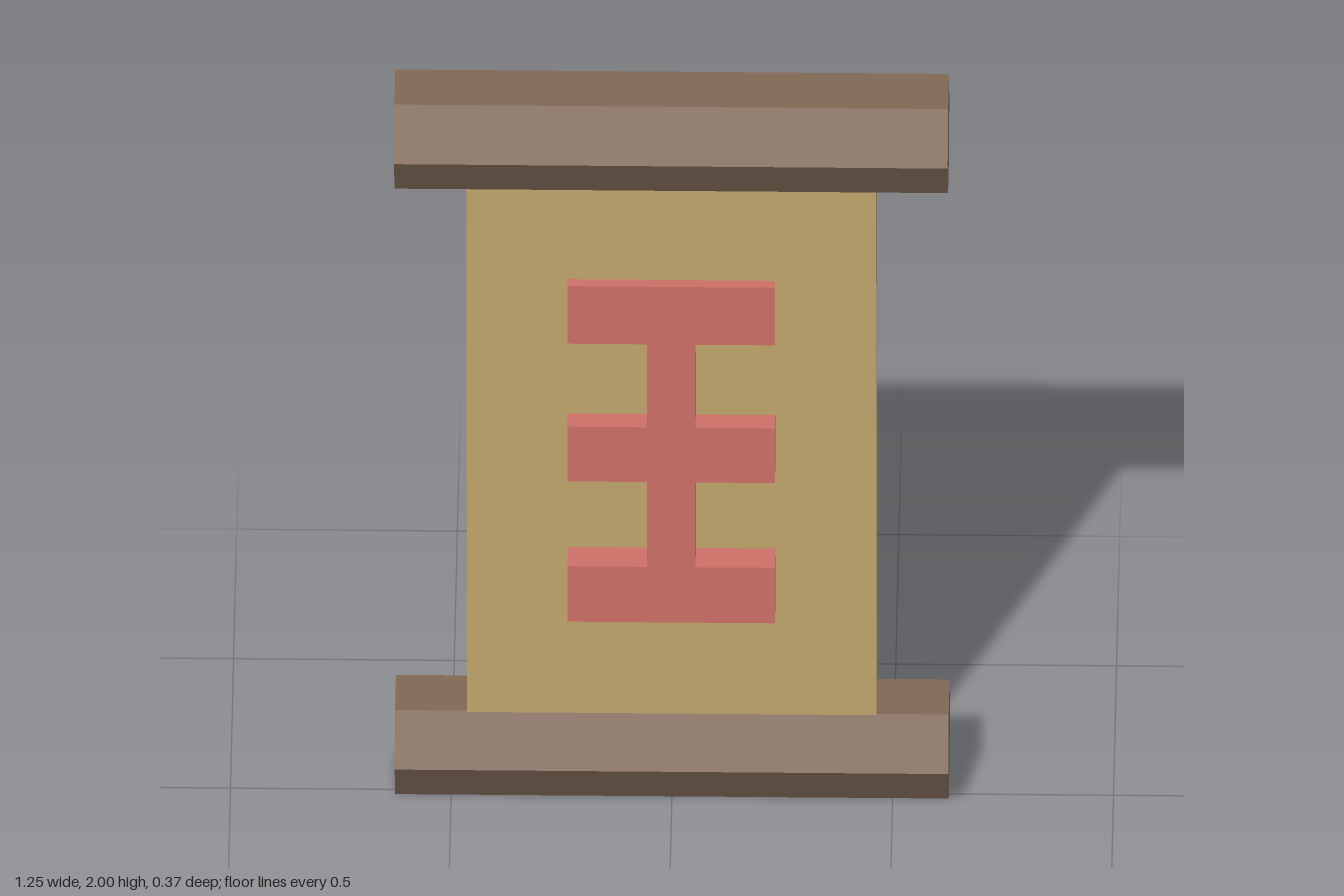
import * as THREE from 'three';

const paint = (name, color) => {
  const m = new THREE.MeshStandardMaterial({ color });
  m.name = name;
  return m;
};

export function createModel() {
  const wood = paint('brownWood', 0x7f6855);
  const parchment = paint('tanParchment', 0xc6aa6f);
  const ink = paint('redInk', 0xcd7067);
  const group = new THREE.Group();
  group.name = 'scroll';

  const add = (name, geometry, material, x = 0, y = 0, z = 0) => {
    const mesh = new THREE.Mesh(geometry, material);
    mesh.name = name;
    mesh.position.set(x, y, z);
    group.add(mesh);
  };

  // Hexagonal rollers along x, points facing front and back
  const roller = new THREE.CylinderGeometry(0.1357, 0.1357, 1.254, 6).rotateZ(Math.PI / 2).toNonIndexed();
  roller.computeVertexNormals();
  add('topRoller', roller, wood, 0, 1.8825, 0.05);
  add('bottomRoller', roller, wood, 0, 0.1175, -0.05);

  // Sheet between the rollers, sheared so its top leans forward
  const sheet = new THREE.BoxGeometry(0.928, 1.53, 0.135);
  const p = sheet.attributes.position;
  for (let i = 0; i < p.count; i++) p.setZ(i, p.getZ(i) + p.getY(i) * 0.061);
  sheet.computeVertexNormals();
  add('sheet', sheet, parchment, 0, 1, 0.002);

  // Raised emblem: a stem with three crossbars, mirrored from its right half
  const half = [
    [0.235, 0.565], [0.235, 0.72], [0.055, 0.72], [0.055, 0.957], [0.235, 0.957],
    [0.235, 1.11], [0.055, 1.11], [0.055, 1.342], [0.235, 1.342], [0.235, 1.503],
  ];
  const outline = [...half, ...half.map(([x, y]) => [-x, y]).reverse()];
  const shape = new THREE.Shape(outline.map(([x, y]) => new THREE.Vector2(x, y)));
  add('emblem', new THREE.ExtrudeGeometry(shape, { depth: 0.095, bevelEnabled: false }), ink, 0, 0, 0.032);

  return group;
}
